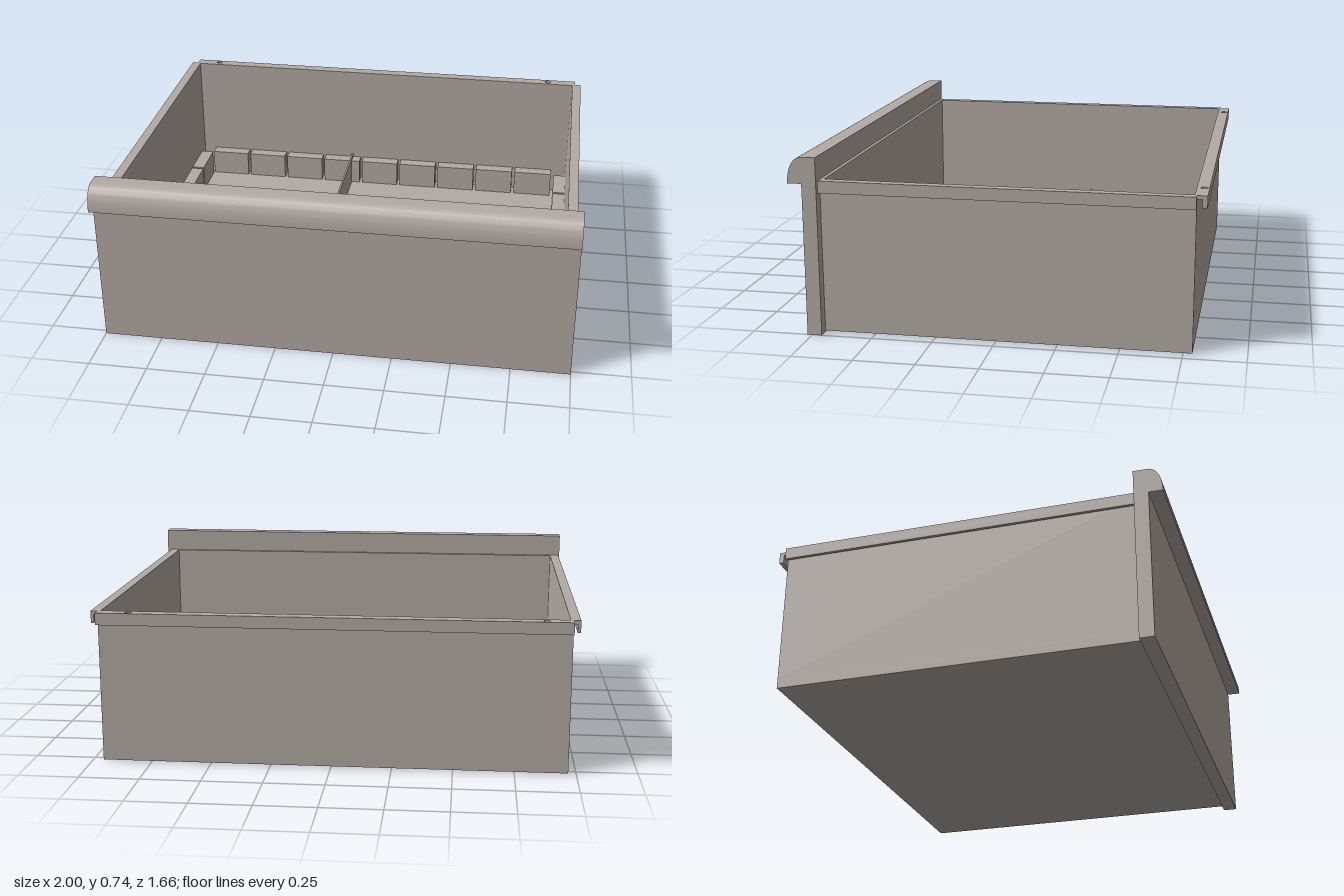
import * as THREE from 'three';
import { toCreasedNormals } from 'three/addons/utils/BufferGeometryUtils.js';

export function createModel() {
  const group = new THREE.Group();
  const grey = new THREE.MeshStandardMaterial({ color: 0xb3aaa3 });
  grey.name = 'warmGrey';

  const add = (name, geometry) => {
    const mesh = new THREE.Mesh(geometry, grey);
    mesh.name = name;
    group.add(mesh);
    return mesh;
  };
  // Box given by its lower and upper limits on each axis
  const box = (name, x0, x1, y0, y1, z0, z1) => {
    const mesh = add(name, new THREE.BoxGeometry(x1 - x0, y1 - y0, z1 - z0));
    mesh.position.set((x0 + x1) / 2, (y0 + y1) / 2, (z0 + z1) / 2);
    return mesh;
  };

  const CX = -0.007;                 // the tray sits slightly off centre
  const INNER = 0.947, OUTER = 0.96; // half widths of the tray
  const BACK = -0.787, FRONT = 0.71, RIM = 0.64, FLOOR = 0.05;

  // Front panel with a rounded overhanging grip, drawn in z,y and run along x
  const profile = new THREE.Shape();
  profile.moveTo(FRONT, 0);
  profile.lineTo(0.77, 0);
  profile.lineTo(0.77, 0.63);
  profile.lineTo(0.828, 0.63);
  profile.bezierCurveTo(0.828, 0.69, 0.806, 0.738, 0.768, 0.738);
  profile.lineTo(FRONT, 0.738);
  profile.closePath();
  const panel = new THREE.ExtrudeGeometry(profile, { depth: 2, bevelEnabled: false, curveSegments: 16 });
  panel.rotateY(-Math.PI / 2).translate(1, 0, 0);
  add('frontPanel', toCreasedNormals(panel, 0.5));

  // Tray floor and walls
  box('floor', CX - OUTER, CX + OUTER, 0.005, FLOOR, BACK, FRONT);
  box('backWall', CX - OUTER, CX + OUTER, FLOOR, RIM, BACK, BACK + 0.009);
  box('innerFrontWall', CX - OUTER, CX + OUTER, FLOOR, RIM, 0.695, FRONT);
  for (const [side, s] of [['left', 1], ['right', -1]]) {
    const span = (name, a, b, y0, y1) =>
      box(name, CX + Math.min(s * a, s * b), CX + Math.max(s * a, s * b), y0, y1, BACK, FRONT);
    span(side + 'Wall', INNER, OUTER, FLOOR, RIM);
    // Hooked side rim
    span(side + 'RimTop', OUTER, 0.988, 0.625, RIM);
    span(side + 'RimLip', 0.975, 0.988, 0.59, 0.625);
  }

  // Hooked back rim with two screw holes
  const flange = new THREE.Shape();
  flange.moveTo(CX - OUTER, -0.828);
  flange.lineTo(CX + OUTER, -0.828);
  flange.lineTo(CX + OUTER, BACK);
  flange.lineTo(CX - OUTER, BACK);
  flange.closePath();
  for (const x of [-0.86, 0.82]) {
    flange.holes.push(new THREE.Path().absarc(x, -0.808, 0.014, 0, Math.PI * 2, true));
  }
  const flangeGeo = new THREE.ExtrudeGeometry(flange, { depth: 0.015, bevelEnabled: false });
  flangeGeo.rotateX(Math.PI / 2).translate(0, RIM, 0);
  add('backRimTop', flangeGeo);
  box('backRimLip', CX - OUTER, CX + OUTER, 0.59, 0.625, -0.828, -0.808);

  // Spacer blocks along the back and both sides
  const TOP = 0.17;
  for (let i = 0; i < 9; i++) {
    const x = -0.892 + i * 0.197;
    box('backBlock', x, x + 0.183, FLOOR, TOP, -0.771, -0.717);
  }
  for (let i = 0; i < 7; i++) {
    const z = -0.712 + i * 0.2005;
    box('leftBlock', 0.881, CX + INNER, FLOOR, TOP, z, z + 0.188);
    box('rightBlock', CX - INNER, -0.896, FLOOR, TOP, z, z + 0.188);
  }

  // Thin crossing dividers, slotted in their lower half
  const divider = (from, to, slots) => {
    const s = new THREE.Shape();
    s.moveTo(from, FLOOR);
    for (const p of slots) {
      s.lineTo(p - 0.005, FLOOR);
      s.lineTo(p - 0.005, 0.12);
      s.lineTo(p + 0.005, 0.12);
      s.lineTo(p + 0.005, FLOOR);
    }
    s.lineTo(to, FLOOR);
    s.lineTo(to, 0.185);
    s.lineTo(from, 0.185);
    s.closePath();
    return new THREE.ExtrudeGeometry(s, { depth: 0.008, bevelEnabled: false });
  };
  const slots = (start, step, n) => Array.from({ length: n }, (_, i) => start + i * step);
  add('lengthDivider', divider(-0.772, 0.692, slots(-0.518, 0.2005, 6)).rotateY(-Math.PI / 2))
    .position.x = -0.158;
  add('crossDivider', divider(CX - INNER, CX + INNER, slots(-0.702, 0.197, 8)))
    .position.z = -0.121;

  return group;
}
